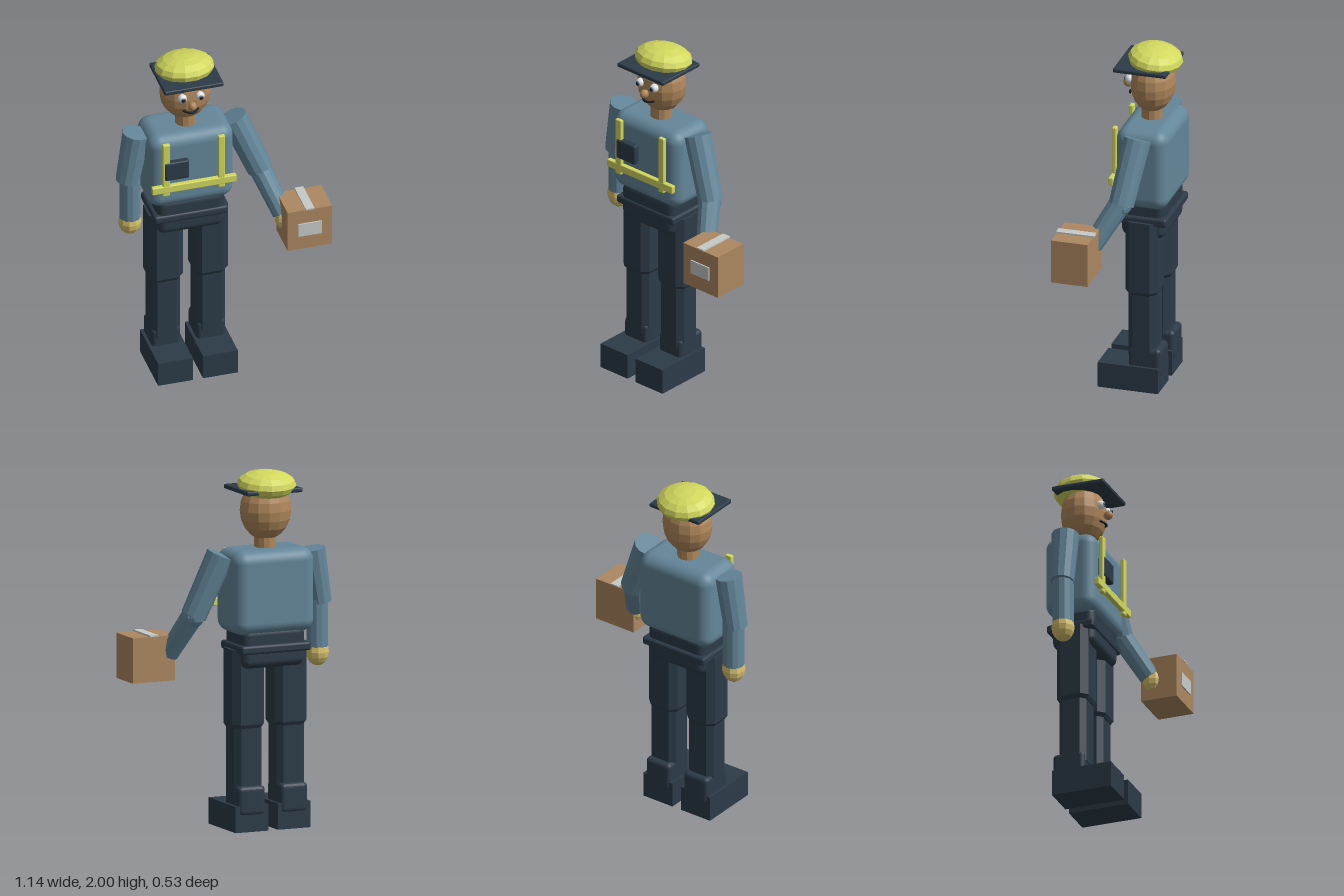
import * as THREE from 'three';
import { RoundedBoxGeometry } from 'three/addons/geometries/RoundedBoxGeometry.js';
import { ConvexGeometry } from 'three/addons/geometries/ConvexGeometry.js';

const CX = -0.172; // body centre line
const CZ = -0.1;

export function createModel() {
  const root = new THREE.Group();
  root.name = 'courier';
  const mat = (name, color, flat = false) => {
    const m = new THREE.MeshStandardMaterial({ color });
    m.name = name;
    m.flatShading = flat;
    return m;
  };
  const shirt = mat('shirt blue', 0x64879a, true);
  const navy = mat('navy', 0x2c3b48, true);
  const yellow = mat('safety yellow', 0xd2d85e, true);
  const skin = mat('skin', 0xaf875b, true);
  const glove = mat('glove tan', 0xd6c06c, true);
  const card = mat('cardboard', 0xac8860);
  const tape = mat('tape grey', 0xc6cbc9);
  const white = mat('eye white', 0xe6eaec);
  const black = mat('black', 0x191d21);
  // the torso is the only large smooth part, so its rounding is kept by many segments

  const add = (name, geo, material, x = 0, y = 0, z = 0) => {
    const m = new THREE.Mesh(geo, material);
    m.name = name;
    m.position.set(x, y, z);
    root.add(m);
    return m;
  };
  // box given by its limits; r > 0 rounds the edges
  const box = (name, material, [x0, x1], [y0, y1], [z0, z1], r = 0, seg = 3) => {
    const s = [x1 - x0, y1 - y0, z1 - z0];
    const geo = r ? new RoundedBoxGeometry(...s, seg, r) : new THREE.BoxGeometry(...s);
    return add(name, geo, material, (x0 + x1) / 2, (y0 + y1) / 2, (z0 + z1) / 2);
  };
  const ball = (name, material, r, x, y, z, w = 12, h = 8) => {
    const m = add(name, new THREE.SphereGeometry(1, w, h), material, x, y, z);
    m.scale.set(...r);
    return m;
  };
  // tapered tube between two points
  const limb = (name, material, a, b, ra, rb) => {
    const p = new THREE.Vector3(...a), q = new THREE.Vector3(...b);
    const m = add(name, new THREE.CylinderGeometry(ra, rb, p.distanceTo(q), 12), material);
    m.position.copy(p).add(q).multiplyScalar(0.5);
    m.quaternion.setFromUnitVectors(new THREE.Vector3(0, 1, 0), p.sub(q).normalize());
    return m;
  };
  // chamfered column built from [y, inset] rings
  const column = (name, material, x, z, w, d, c, rings) => {
    const pts = [];
    for (const [y, inset] of rings) {
      const a = w / 2 - inset, b = d / 2 - inset;
      for (const sx of [-1, 1]) for (const sz of [-1, 1]) {
        pts.push(new THREE.Vector3(sx * a, y, sz * (b - c)), new THREE.Vector3(sx * (a - c), y, sz * b));
      }
    }
    return add(name, new ConvexGeometry(pts), material, x, 0, z);
  };

  // torso and hips
  box('torso', shirt, [-0.417, 0.073], [1.1, 1.57], [-0.25, 0.05], 0.07, 6);
  box('hips', navy, [-0.365, 0.021], [0.91, 1.14], [-0.222, 0.03], 0.045);
  box('belt', navy, [-0.387, 0.037], [0.995, 1.045], [-0.24, 0.038], 0.015, 2);

  // reflective harness and chest pouch
  box('rightStrap', yellow, [-0.353, -0.311], [1.21, 1.55], [0.058, 0.083], 0.006, 2);
  box('leftStrap', yellow, [-0.034, 0.004], [1.21, 1.55], [0.058, 0.083], 0.006, 2);
  box('chestBand', yellow, [-0.414, 0.07], [1.23, 1.276], [0.054, 0.084], 0.006, 2);
  box('chestPouch', navy, [-0.343, -0.203], [1.313, 1.43], [0.05, 0.089], 0.01, 2);

  // legs and boots
  for (const side of [-1, 1]) {
    const tag = side < 0 ? 'right' : 'left';
    const x = CX + side * 0.129;
    column(tag + 'Thigh', navy, x, -0.093, 0.195, 0.185, 0.036, [[1.015, 0], [0.595, 0], [0.575, 0.01], [0.56, 0.03]]);
    column(tag + 'Shin', navy, x, -0.095, 0.168, 0.16, 0.03, [[0.6, 0], [0.2, 0]]);
    box(tag + 'Ankle', navy, [x - 0.083, x + 0.083], [0.09, 0.255], [-0.207, -0.02], 0.025);
    box(tag + 'Shoe', navy, [x - 0.1, x + 0.1], [0, 0.147], [-0.2, 0.148]);
  }

  // right arm hanging down
  limb('rightUpperArm', shirt, [-0.453, 1.54, -0.1], [-0.503, 1.235, -0.1], 0.077, 0.067);
  limb('rightForearm', shirt, [-0.488, 1.27, -0.1], [-0.489, 0.99, -0.1], 0.06, 0.06);
  ball('rightHand', glove, [0.066, 0.078, 0.064], -0.489, 0.96, -0.1, 10, 8);

  // left arm reaching forward to the parcel
  limb('leftUpperArm', shirt, [0.1, 1.545, -0.095], [0.24, 1.205, -0.045], 0.078, 0.072);
  ball('leftElbow', shirt, [0.064, 0.064, 0.064], 0.24, 1.2, -0.04, 10, 8);
  limb('leftForearm', shirt, [0.235, 1.22, -0.045], [0.328, 0.98, 0.092], 0.063, 0.056);
  ball('leftHand', glove, [0.06, 0.075, 0.06], 0.342, 0.955, 0.105, 10, 8);

  // parcel
  box('parcel', card, [0.31, 0.566], [0.835, 1.088], [0.048, 0.258]);
  box('parcelTape', tape, [0.413, 0.463], [1.088, 1.097], [0.044, 0.262]);
  box('parcelLabel', tape, [0.37, 0.505], [0.922, 1.003], [0.258, 0.266]);

  // head
  add('neck', new THREE.CylinderGeometry(0.06, 0.06, 0.13, 12), skin, CX, 1.6, -0.095);
  ball('head', skin, [0.146, 0.168, 0.126], CX, 1.776, -0.101, 14, 10);
  ball('nose', skin, [0.024, 0.026, 0.027], CX, 1.757, 0.043, 10, 8);
  for (const side of [-1, 1]) {
    const tag = side < 0 ? 'right' : 'left';
    const x = CX + side * 0.051;
    ball(tag + 'Eye', white, [0.025, 0.025, 0.025], x, 1.802, 0.018, 14, 10);
    ball(tag + 'Iris', shirt, [0.015, 0.015, 0.006], x, 1.802, 0.04, 12, 8);
    ball(tag + 'Pupil', black, [0.01, 0.01, 0.005], x, 1.802, 0.044, 12, 8);
  }
  const smile = new THREE.QuadraticBezierCurve3(
    new THREE.Vector3(CX - 0.043, 1.713, 0.008),
    new THREE.Vector3(CX, 1.695, 0.052),
    new THREE.Vector3(CX + 0.043, 1.713, 0.008));
  add('mouth', new THREE.TubeGeometry(smile, 10, 0.007, 6), black);

  // cap, tipped slightly back, with a flat square brim
  ball('cap', yellow, [0.168, 0.075, 0.153], CX, 1.922, -0.116, 14, 8).rotation.x = -0.13;
  box('capBrim', navy, [-0.342, -0.002], [1.88, 1.905], [-0.226, 0.08], 0.008, 2);

  // smooth shading for the rounded body shapes
  const smooth = { torso: shirt, hips: navy, belt: navy };
  for (const [name, base] of Object.entries(smooth)) {
    const m = root.getObjectByName(name);
    const key = base === shirt ? 'smoothShirt' : 'smoothNavy';
    smooth[key + 'Cache'] = smooth[key + 'Cache'] || Object.assign(base.clone(), { flatShading: false });
    m.material = smooth[key + 'Cache'];
  }
  return root;
}
